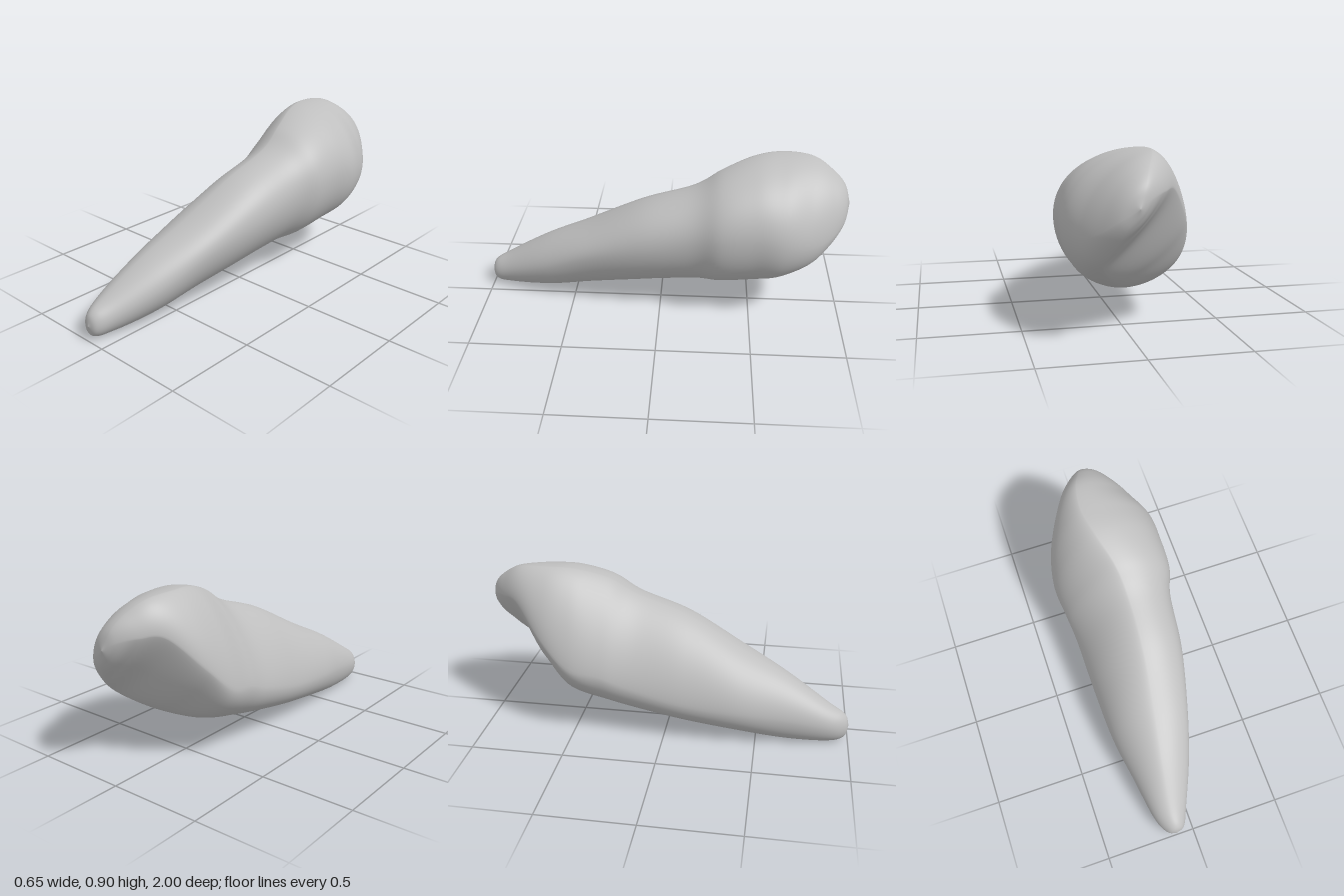
import * as THREE from 'three';

// Cross-sections from root tip to crown: z, then the x,y of the
// topmost, rightmost (+x), lowest and leftmost (-x) point.
const SECTIONS = [
  [1.0, -0.10, 0.085, -0.10, 0.085, -0.10, 0.085, -0.10, 0.085],
  [0.975, -0.10, 0.15, -0.05, 0.085, -0.11, 0.02, -0.15, 0.08],
  [0.88, -0.10, 0.21, -0.005, 0.12, -0.125, 0.0, -0.195, 0.10],
  [0.65, -0.07, 0.35, 0.09, 0.22, -0.13, 0.005, -0.235, 0.15],
  [0.4, -0.03, 0.475, 0.165, 0.34, -0.13, 0.04, -0.275, 0.19],
  [0.1, 0.01, 0.635, 0.235, 0.44, -0.13, 0.085, -0.288, 0.23],
  [-0.18, 0.02, 0.735, 0.267, 0.51, -0.10, 0.13, -0.293, 0.30],
  [-0.33, 0.0, 0.825, 0.314, 0.54, -0.06, 0.155, -0.308, 0.36],
  [-0.5, -0.05, 0.885, 0.321, 0.56, -0.01, 0.19, -0.322, 0.41],
  [-0.65, -0.08, 0.9, 0.32, 0.54, 0.08, 0.26, -0.28, 0.55],
  [-0.8, -0.06, 0.888, 0.268, 0.52, 0.16, 0.37, -0.175, 0.72],
  [-0.9, -0.02, 0.835, 0.205, 0.55, 0.13, 0.47, -0.10, 0.73],
  [-0.97, 0.01, 0.765, 0.13, 0.61, 0.09, 0.57, -0.025, 0.71],
  [-1.0, 0.04, 0.67, 0.04, 0.67, 0.04, 0.67, 0.04, 0.67],
];

// Fullness of each quarter per section (2 is round, 1 is flat):
// upper right, lower right, lower left, upper left.
const FULLNESS = [
  [2, 2, 2, 2],
  [2, 2, 2, 2],
  [2, 1.9, 2, 1.9],
  [2.05, 1.8, 2, 1.75],
  [2.15, 1.75, 2, 1.7],
  [2.2, 1.8, 2, 1.6],
  [2.15, 1.9, 2, 1.5],
  [2.1, 2, 2, 1.45],
  [2.05, 2, 1.85, 1.55],
  [1.95, 2.1, 1.45, 1.55],
  [1.75, 2.1, 1.22, 1.7],
  [1.75, 2.1, 1.25, 1.8],
  [1.8, 2, 1.5, 1.9],
  [2, 2, 2, 2],
];
const RINGS = 130;
const QUARTER = 20;

function fullnessAt(t, quarter) {
  const s = t * (FULLNESS.length - 1);
  const i = Math.min(Math.floor(s), FULLNESS.length - 2);
  const f = THREE.MathUtils.smoothstep(s - i, 0, 1);
  return THREE.MathUtils.lerp(FULLNESS[i][quarter], FULLNESS[i + 1][quarter], f);
}

function buildSurface() {
  // One guide rail through each of the four extreme points
  const rails = [0, 1, 2, 3].map((k) => new THREE.CatmullRomCurve3(
    SECTIONS.map((s) => new THREE.Vector3(s[1 + 2 * k], s[2 + 2 * k], s[0])),
    false, 'catmullrom', 0.5));
  const positions = [];
  const indices = [];
  const sides = QUARTER * 4;

  for (let i = 0; i <= RINGS; i++) {
    // Rings crowd towards both rounded ends
    const u = i / RINGS;
    const t = 0.5 * u + 0.5 * (1 - Math.cos(Math.PI * u)) / 2;
    const p = rails.map((rail) => rail.getPoint(t));
    for (let k = 0; k < 4; k++) {
      const a = p[k];
      const b = p[(k + 1) % 4];
      const exponent = 2 / fullnessAt(t, k);
      // Quarter curve leaving a and reaching b along the axes
      const cx = k % 2 === 0 ? a.x : b.x;
      const cy = k % 2 === 0 ? b.y : a.y;
      for (let j = 0; j < QUARTER; j++) {
        const angle = (j / QUARTER) * Math.PI / 2;
        const ca = Math.pow(Math.cos(angle), exponent);
        const sb = Math.pow(Math.sin(angle), exponent);
        positions.push(
          cx + (a.x - cx) * ca + (b.x - cx) * sb,
          cy + (a.y - cy) * ca + (b.y - cy) * sb,
          a.z);
      }
    }
  }

  for (let i = 0; i < RINGS; i++) {
    for (let j = 0; j < sides; j++) {
      const a = i * sides + j;
      const b = i * sides + (j + 1) % sides;
      indices.push(a, b, a + sides, b, b + sides, a + sides);
    }
  }

  const geometry = new THREE.BufferGeometry();
  geometry.setAttribute('position', new THREE.Float32BufferAttribute(positions, 3));
  geometry.setIndex(indices);
  geometry.computeVertexNormals();
  return geometry;
}

export function createModel() {
  const group = new THREE.Group();
  group.name = 'tooth';
  const enamel = new THREE.MeshStandardMaterial({ color: 0xbfbfbf });
  enamel.name = 'grey enamel';
  // Root and crown as one continuous surface
  const tooth = new THREE.Mesh(buildSurface(), enamel);
  tooth.name = 'rootAndCrown';
  group.add(tooth);
  return group;
}
